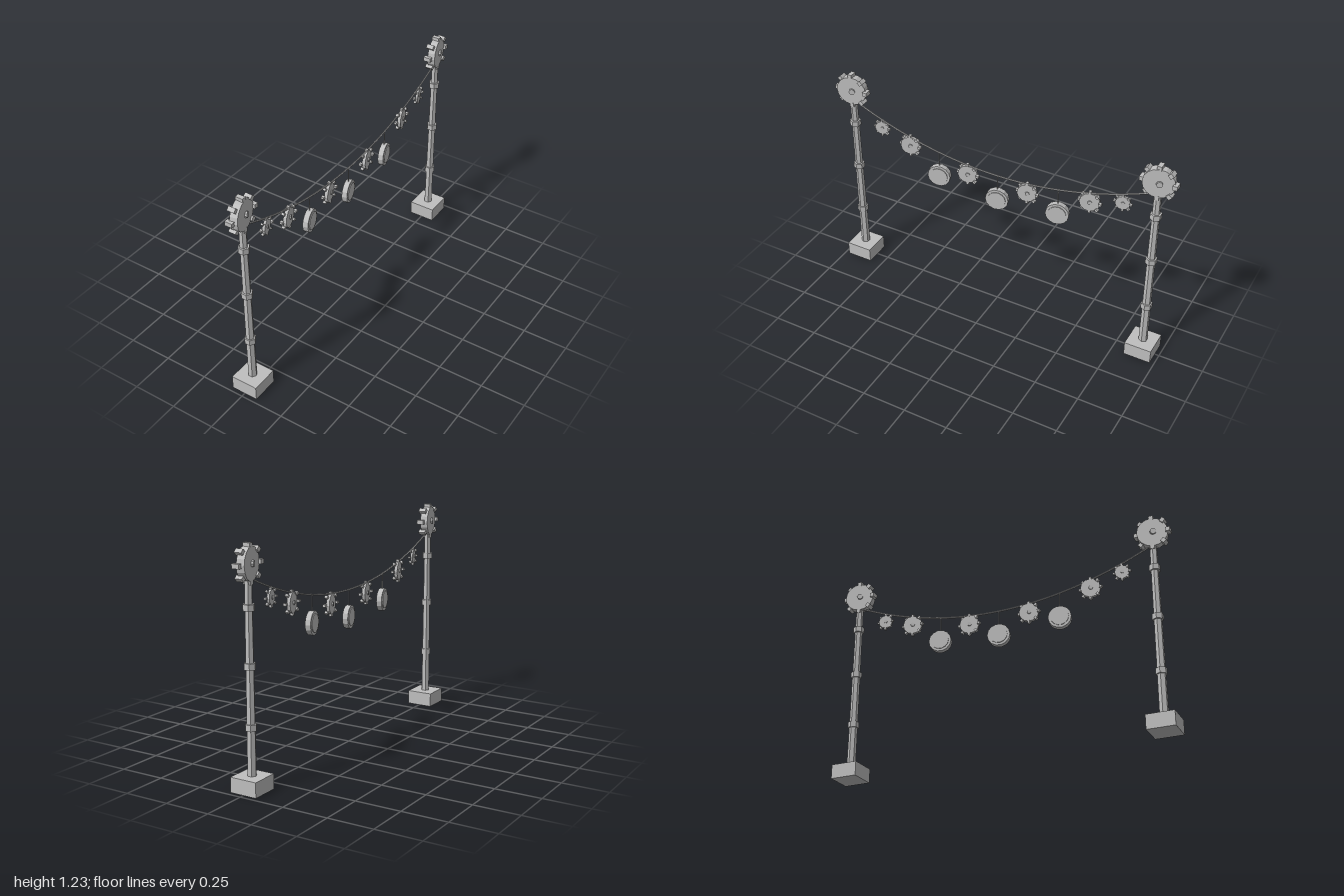
import * as THREE from 'three';

const grey = new THREE.MeshStandardMaterial({ color: 0xbfbfbf, flatShading: true });
grey.name = 'plain grey';

// Rope height along z
const ropeY = (z) => 0.857 + 0.255 * z * z;

function add(parent, name, geometry, x = 0, y = 0, z = 0) {
  const mesh = new THREE.Mesh(geometry, grey);
  mesh.name = name;
  mesh.position.set(x, y, z);
  parent.add(mesh);
  return mesh;
}

// Disc whose axis runs along x
function disc(radius, thickness, sides) {
  return new THREE.CylinderGeometry(radius, radius, thickness, sides)
    .rotateX(Math.PI / sides).rotateZ(Math.PI / 2);
}

// Gear with eight block teeth and a hub that stands out on both sides
function gear(name, y, z, radius, tip, thickness, hubRadius, hubLength, toothWidth, sides) {
  const group = new THREE.Group();
  group.name = name;
  group.position.set(0, y, z);
  add(group, 'gearBody', disc(radius, thickness, sides));
  add(group, 'gearHub', disc(hubRadius, hubLength, 8));
  const root = radius * 0.9;
  for (let i = 0; i < 8; i++) {
    const tooth = new THREE.BoxGeometry(thickness, tip - root, toothWidth);
    tooth.translate(0, (tip + root) / 2, 0).rotateX((i * Math.PI) / 4);
    add(group, 'gearTooth', tooth);
  }
  return group;
}

// Hexagonal post with a corner on each x side
function hex(top, bottom, height) {
  return new THREE.CylinderGeometry(top, bottom, height, 6).rotateY(Math.PI / 2);
}

function post(z) {
  const group = new THREE.Group();
  group.name = 'post';
  group.position.z = z;
  add(group, 'base', new THREE.BoxGeometry(0.152, 0.08, 0.152), 0, 0.04, 0);
  add(group, 'pole', hex(0.02, 0.0245, 1.0), 0, 0.57, 0);
  for (const y of [0.327, 0.633, 0.92]) add(group, 'poleBand', hex(0.031, 0.031, 0.033), 0, y, 0);
  group.add(gear('topGear', 1.13, 0, 0.084, 0.1, 0.042, 0.017, 0.062, 0.024, 16));
  return group;
}

// Round lantern hung on a thin wire
function lantern(y, z) {
  const group = new THREE.Group();
  group.name = 'lantern';
  const top = ropeY(z);
  const wire = new THREE.CylinderGeometry(0.003, 0.003, top - y - 0.05, 6);
  add(group, 'wire', wire, 0, (top + y + 0.05) / 2, z);
  add(group, 'lanternRim', disc(0.064, 0.03, 14), 0, y, z);
  add(group, 'lanternFace', disc(0.05, 0.038, 14), 0, y, z);
  return group;
}

export function createModel() {
  const model = new THREE.Group();
  model.name = 'gearGarland';

  // Sagging rope
  const points = [];
  for (let i = 0; i <= 12; i++) {
    const z = -0.9 + i * 0.15;
    points.push(new THREE.Vector3(0, ropeY(z), z));
  }
  const curve = new THREE.CatmullRomCurve3(points);
  add(model, 'rope', new THREE.TubeGeometry(curve, 40, 0.005, 6));

  // Mirrored posts, gears and lanterns
  for (const side of [1, -1]) {
    model.add(post(0.9 * side));
    model.add(gear('smallGear', 0.938, 0.72 * side, 0.04, 0.051, 0.014, 0.01, 0.022, 0.011, 12));
    model.add(gear('hangingGear', 0.88, 0.54 * side, 0.055, 0.066, 0.018, 0.012, 0.03, 0.014, 12));
    model.add(gear('hangingGear', 0.81, 0.18 * side, 0.055, 0.066, 0.018, 0.012, 0.03, 0.014, 12));
    model.add(lantern(0.742, 0.36 * side));
  }
  model.add(lantern(0.708, 0));
  return model;
}
